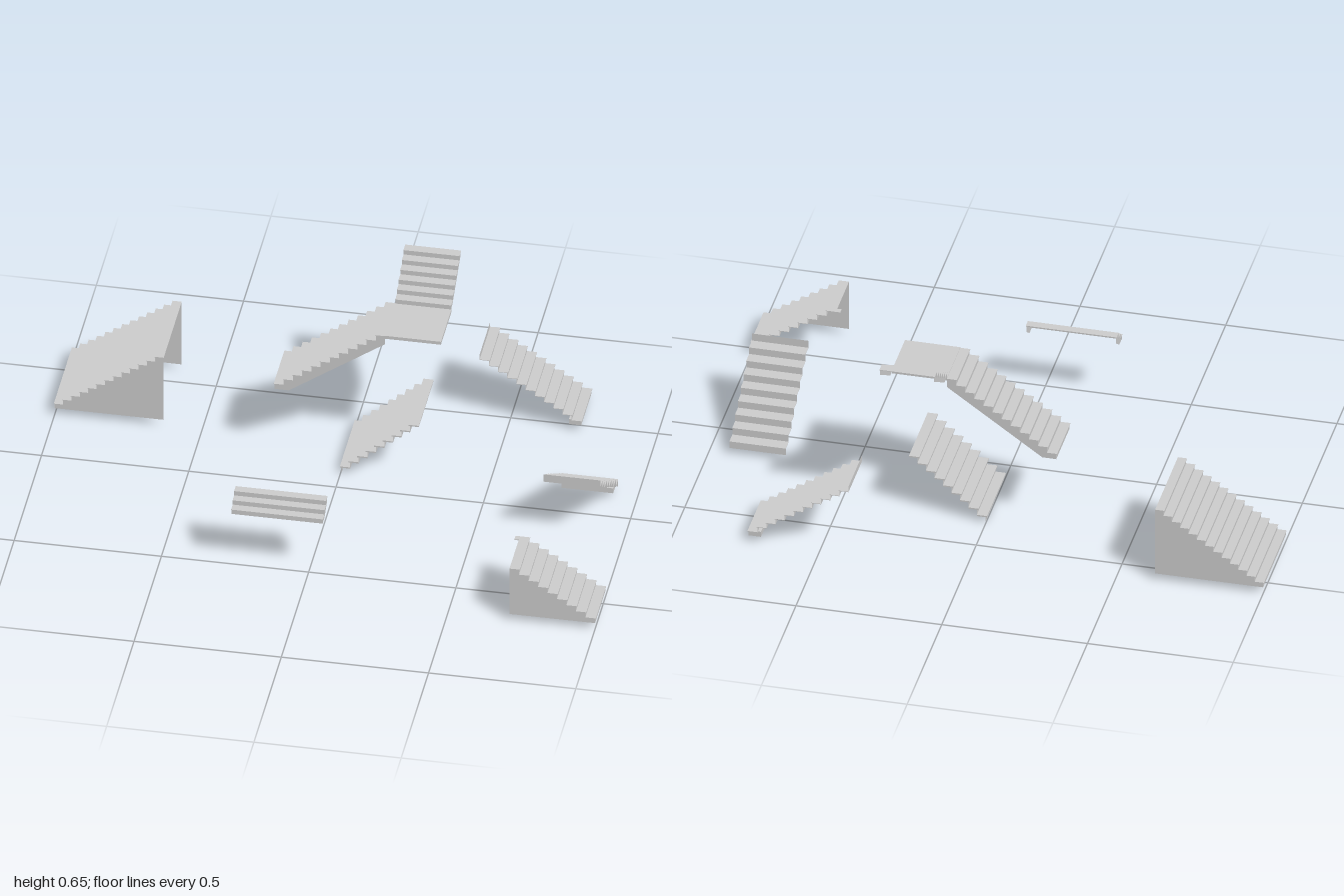
import * as THREE from 'three';

const mat = new THREE.MeshStandardMaterial({ color: 0xcccccc, side: THREE.DoubleSide, flatShading: true });

function add(group, name, geometry, x = 0, y = 0, z = 0) {
  const mesh = new THREE.Mesh(geometry, mat);
  mesh.name = name;
  mesh.position.set(x, y, z);
  group.add(mesh);
  return mesh;
}

// Side plate with a stepped top: down to the floor (wall) or to a sloped soffit (stringer)
function sidePlate(n, run, rise, depth) {
  const s = new THREE.Shape();
  s.moveTo(0, 0);
  for (let i = 0; i < n; i++) {
    s.lineTo(i * run, (i + 1) * rise);
    s.lineTo((i + 1) * run, (i + 1) * rise);
  }
  if (depth) {
    s.lineTo(n * run, n * rise - depth);
    s.lineTo(depth * run / rise, 0);
  } else s.lineTo(n * run, 0);
  return new THREE.ShapeGeometry(s);
}

// A flight climbing along local +x from its bottom front edge
function flight(name, o) {
  const g = new THREE.Group();
  g.name = name;
  const { n, length, height, width, thick = 0.002, nose = 0.003, sides = [], depth = 0, openTop = false } = o;
  const run = length / n, rise = height / n;
  for (let i = 0; i < n; i++) {
    const riser = add(g, 'riser', new THREE.PlaneGeometry(width, rise), i * run, (i + 0.5) * rise, 0);
    riser.rotation.y = -Math.PI / 2;
    if (openTop && i === n - 1) continue;
    add(g, 'tread', new THREE.BoxGeometry(run + nose, thick, width),
      (i + 0.5) * run - nose / 2, (i + 1) * rise - thick / 2, 0);
  }
  for (const side of sides) {
    add(g, depth ? 'stringer' : 'sideWall', sidePlate(n, run, rise, depth), 0, 0, side * (width / 2 - 0.002));
  }
  g.position.set(...o.at);
  g.rotation.y = o.turn || 0;
  return g;
}

export function createModel() {
  const model = new THREE.Group();
  model.name = 'stairSet';
  const half = Math.PI / 2;

  // Wide hollow stair with two side walls
  model.add(flight('wideWalledStair', {
    n: 13, length: 0.37, height: 0.255, width: 0.33, sides: [-1, 1], at: [-1, 0.025, -0.405] }));

  // Short hollow stair with one side wall; the turn puts that wall at the front
  const walled = flight('narrowWalledStair', {
    n: 9, length: 0.29, height: 0.187, width: 0.19, sides: [-1], at: [1, 0.025, 0.557], turn: Math.PI });
  add(walled, 'topTab', new THREE.BoxGeometry(0.015, 0.003, 0.02), 0.2975, 0.1855, 0.085);
  model.add(walled);

  // Raised corner stair: lower flight, landing, upper flight
  const corner = new THREE.Group();
  corner.name = 'cornerStair';
  corner.add(flight('lowerFlight', {
    n: 12, length: 0.375, height: 0.265, width: 0.195, sides: [-1, 1], depth: 0.034, at: [-0.235, 0.272, -0.238] }));
  add(corner, 'landing', new THREE.BoxGeometry(0.19, 0.012, 0.19), 0.235, 0.533, -0.235);
  corner.add(flight('upperFlight', {
    n: 6, length: 0.18, height: 0.117, width: 0.19, sides: [-1, 1], depth: 0.02, at: [0.235, 0.538, -0.33], turn: half }));
  model.add(corner);

  // Folded stair without sides
  model.add(flight('foldedStair', {
    n: 9, length: 0.262, height: 0.225, width: 0.272, thick: 0.005, nose: 0.006, at: [0.003, 0, -0.221] }));

  // Two open flights standing on a starting block
  const block = (g, width) => add(g, 'startingBlock', new THREE.BoxGeometry(0.042, 0.02, width), 0.021, 0.01, 0);
  const back = flight('backOpenStair', {
    n: 12, length: 0.375, height: 0.25, width: 0.193, openTop: true, at: [0.745, 0.022, -0.56], turn: Math.PI });
  block(back, 0.18);
  const side = flight('sideOpenStair', {
    n: 9, length: 0.365, height: 0.25, width: 0.193, openTop: true, at: [0.834, 0.022, -0.145], turn: -half });
  block(side, 0.175);
  model.add(back, side);

  // Small raised set of three steps
  model.add(flight('threeSteps', {
    n: 3, length: 0.08, height: 0.058, width: 0.312, sides: [-1, 1], depth: 0.025, at: [-0.104, 0.215, 0.515], turn: half }));

  return model;
}
